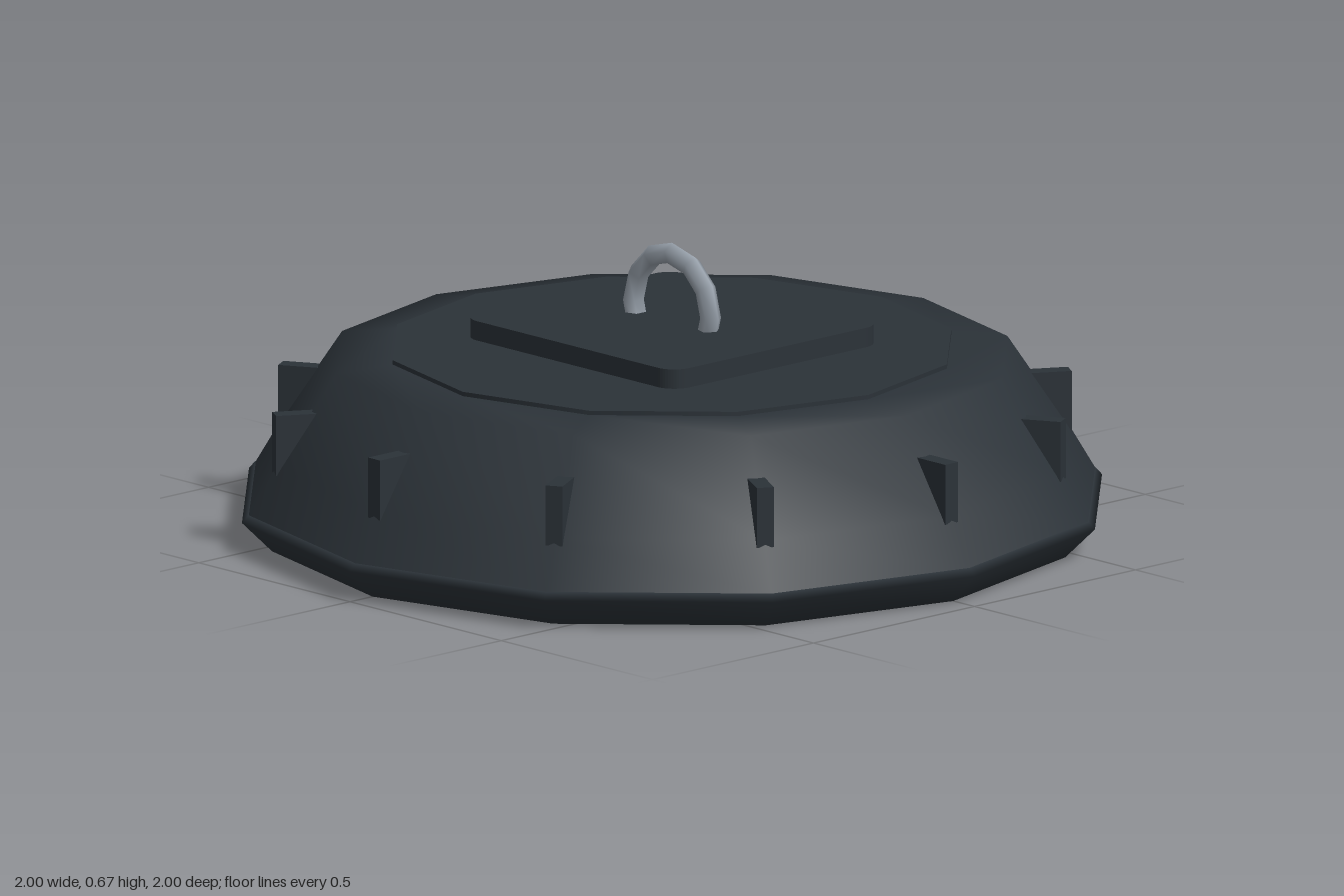
import * as THREE from 'three';

const SIDES = 12;
const mat = (color, side = THREE.FrontSide) => {
  const m = new THREE.MeshStandardMaterial({ color });
  m.side = side;
  return m;
};

export function createModel() {
  const model = new THREE.Group();
  const dark = mat(0x2b3238);
  const housingMat = mat(0x2b3238, THREE.DoubleSide);
  const metal = mat(0x959ea8);
  const lensMat = mat(0xa5a5a5);
  const bezelMat = mat(0xb4b4b0);
  const chipMat = mat(0xd8c860);

  const add = (name, geometry, material, parent = model) => {
    const mesh = new THREE.Mesh(geometry, material);
    mesh.name = name;
    parent.add(mesh);
    return mesh;
  };
  const lathe = (points) =>
    new THREE.LatheGeometry(points.map(([r, y]) => new THREE.Vector2(r, y)), SIDES);
  const disc = (name, radius, y0, y1, material, sides = SIDES, parent = model) => {
    const mesh = add(name, new THREE.CylinderGeometry(radius, radius, y1 - y0, sides), material, parent);
    mesh.position.y = (y0 + y1) / 2;
    return mesh;
  };

  // Twelve-sided housing: bevelled lower rim and sloping shell
  add('rim', lathe([[0.87, 0.06], [0.87, 0.03], [0.93, 0], [1, 0.07], [0.985, 0.087], [0.95, 0.087]]), housingMat);
  add('housing', lathe([[0.985, 0.085], [0.92, 0.195], [0.78, 0.405], [0.65, 0.42], [0, 0.42]]), housingMat);
  disc('topCover', 0.65, 0.41, 0.43, dark);

  // Cooling fins, one on each corner of the shell
  const fins = new THREE.Group();
  fins.name = 'fins';
  for (let i = 0; i < SIDES; i++) {
    const pivot = new THREE.Group();
    pivot.rotation.y = (i / SIDES) * Math.PI * 2;
    add('fin', new THREE.BoxGeometry(0.14, 0.14, 0.04), dark, pivot).position.set(0.855, 0.25, 0);
    fins.add(pivot);
  }
  model.add(fins);

  // Rounded mounting plate
  const w = 0.35, d = 0.325, r = 0.05;
  const outline = new THREE.Shape();
  outline.absarc(w - r, d - r, r, 0, Math.PI / 2);
  outline.absarc(-w + r, d - r, r, Math.PI / 2, Math.PI);
  outline.absarc(-w + r, -d + r, r, Math.PI, Math.PI * 1.5);
  outline.absarc(w - r, -d + r, r, Math.PI * 1.5, Math.PI * 2);
  const plate = new THREE.ExtrudeGeometry(outline, { depth: 0.045, bevelEnabled: false, curveSegments: 6 });
  plate.rotateX(-Math.PI / 2);
  add('mountingPlate', plate, dark).position.y = 0.44;

  // Hanging ring
  add('hangingRing', new THREE.TorusGeometry(0.129, 0.025, 5, 12), metal).position.y = 0.513;

  // Recessed lens with its metal trim
  disc('lens', 0.87, 0.048, 0.06, lensMat);
  add('lensTrim', lathe([[0.85, 0.048], [0.85, 0.032], [0.875, 0.028]]), mat(0x959ea8, THREE.DoubleSide));
  disc('centreCap', 0.105, 0.04, 0.05, mat(0x7c868f), 24);

  // Three rings of lamps under the lens
  const lamps = new THREE.Group();
  lamps.name = 'lamps';
  for (const [radius, count] of [[0.38, 12], [0.57, 20], [0.775, 36]]) {
    for (let i = 0; i < count; i++) {
      const a = ((i + 0.5) / count) * Math.PI * 2;
      const lamp = new THREE.Group();
      lamp.name = 'lamp';
      lamp.position.set(Math.cos(a) * radius, 0, Math.sin(a) * radius);
      disc('lampBezel', 0.037, 0.04, 0.05, bezelMat, 12, lamp);
      disc('lampChip', 0.012, 0.036, 0.041, chipMat, 8, lamp);
      lamps.add(lamp);
    }
  }
  model.add(lamps);
  return model;
}
